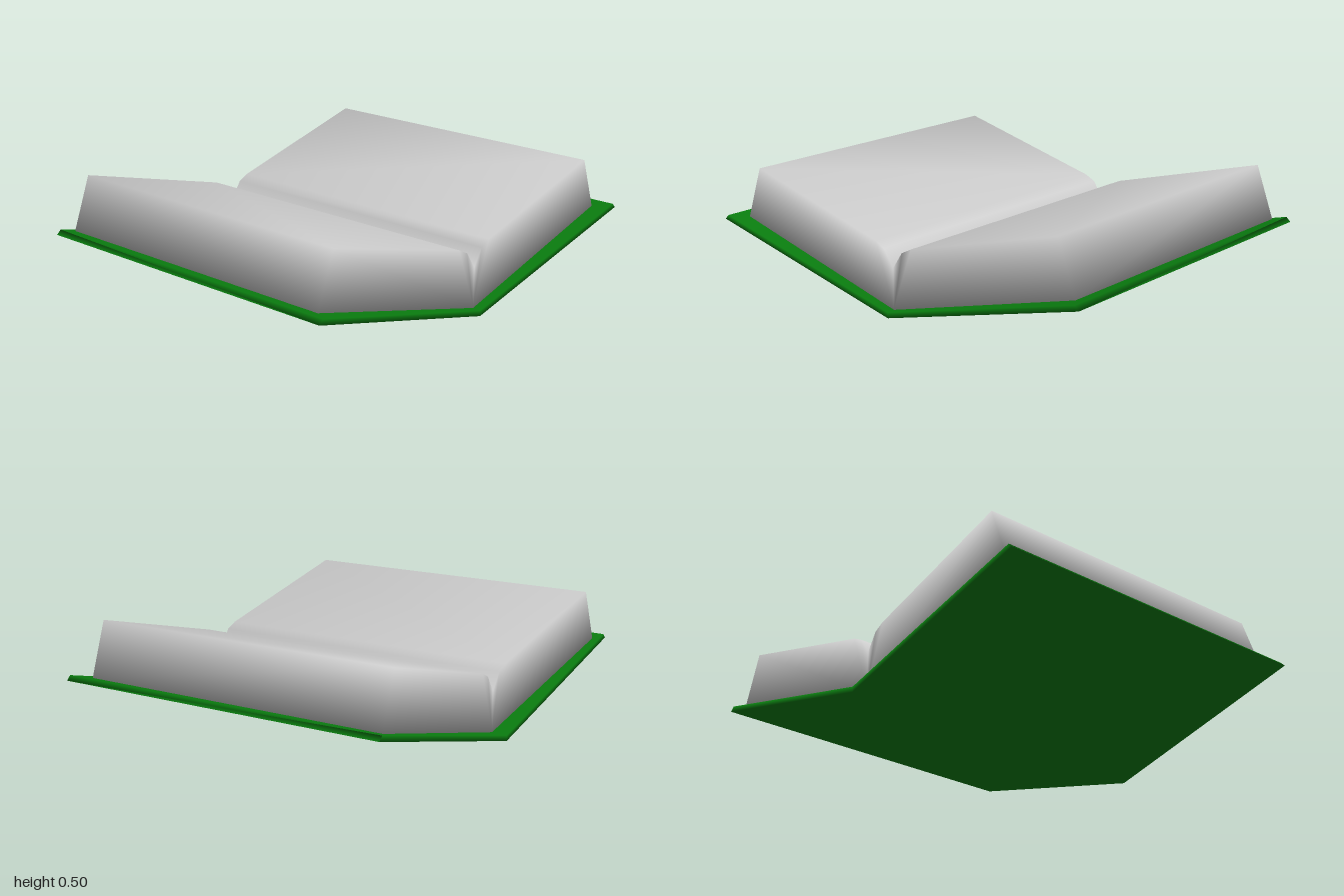
import * as THREE from 'three';
import { mergeVertices } from 'three/addons/utils/BufferGeometryUtils.js';

// Sweeps a half profile of [z, y] points along x and mirrors it across z = 0.
// The profile runs from the inner top, round the outer edge, to the inner bottom.
// skew slides the points along x in proportion to their distance from the spine.
function foldedBlock(profile, xMin, xMax, skew) {
  const positions = [];
  const last = profile.length - 1;
  for (const side of [1, -1]) {
    const point = (i, x) => {
      const [z, y] = profile[i];
      return [x + skew * z, y, z * side];
    };
    const triangle = (a, b, c) =>
      positions.push(...(side > 0 ? [a, b, c] : [a, c, b]).flat());
    for (let i = 0; i < last; i++) {
      const a = point(i, xMin), b = point(i + 1, xMin);
      const c = point(i + 1, xMax), d = point(i, xMax);
      triangle(a, b, c);
      triangle(a, c, d);
      // end caps, fanned from the bottom of the fold
      if (i < last - 1) {
        triangle(point(last, xMax), d, c);
        triangle(point(last, xMin), b, a);
      }
    }
  }
  let geometry = new THREE.BufferGeometry();
  geometry.setAttribute('position', new THREE.Float32BufferAttribute(positions, 3));
  geometry = mergeVertices(geometry, 1e-4);
  geometry.computeVertexNormals();
  return geometry;
}

export function createModel() {
  const group = new THREE.Group();
  group.name = 'openBook';

  // thin V-shaped cover
  const cover = new THREE.Mesh(
    foldedBlock([[0, 0.025], [0.98, 0.275], [1, 0.255], [0, 0]], -0.797, 0.783, 0.009),
    new THREE.MeshStandardMaterial({ color: 0x0a7d0f })
  );
  cover.name = 'cover';

  // two thick page stacks meeting in a rounded gutter
  const pages = new THREE.Mesh(
    foldedBlock(
      [[0, 0.21], [0.05, 0.285], [0.1, 0.31], [0.84, 0.5], [0.925, 0.262], [0, 0.027]],
      -0.725, 0.745, -0.034
    ),
    new THREE.MeshStandardMaterial({ color: 0xcccccc })
  );
  pages.name = 'pages';

  group.add(cover, pages);
  return group;
}
